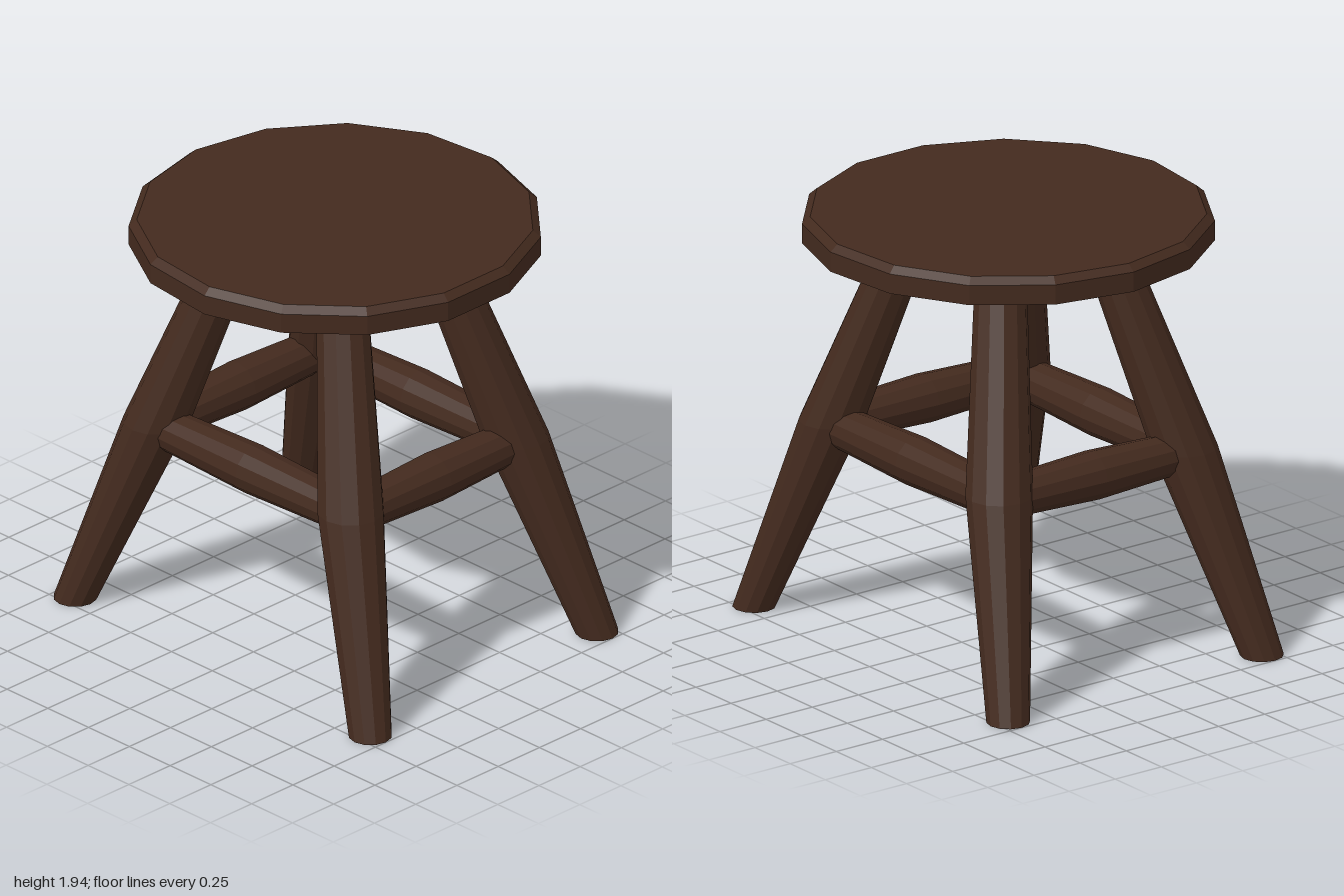
import * as THREE from 'three';

const wood = new THREE.MeshStandardMaterial({ color: 0x432a1e, flatShading: true });

// Lofts a closed solid through rings: each ring is [x, y, z, radius], lying level.
function loft(rings, sides) {
  const geo = new THREE.CylinderGeometry(1, 1, 1, sides, rings.length - 1);
  const p = geo.attributes.position;
  const last = rings.length - 1;
  for (let i = 0; i < p.count; i++) {
    const [x, y, z, r] = rings[Math.round((p.getY(i) + 0.5) * last)];
    p.setXYZ(i, x + p.getX(i) * r, y, z + p.getZ(i) * r);
  }
  geo.computeVertexNormals();
  return geo;
}

function add(group, name, geo) {
  const mesh = new THREE.Mesh(geo, wood);
  mesh.name = name;
  group.add(mesh);
  return mesh;
}

export function createModel() {
  const stool = new THREE.Group();
  stool.name = 'stool';

  // Fifteen-sided seat with a small top bevel, one corner pointing back
  const seat = add(stool, 'seat', loft([
    [0, 1.82, 0, 0.895],
    [0, 1.91, 0, 0.895],
    [0, 1.94, 0, 0.86],
  ], 15));
  seat.rotation.y = Math.PI;

  // Splayed legs, thickest at mid height, cut level at the floor
  for (const sx of [-1, 1]) {
    for (const sz of [-1, 1]) {
      const name = (sz > 0 ? 'front' : 'back') + (sx > 0 ? 'Left' : 'Right') + 'Leg';
      add(stool, name, loft([
        [sx * 0.687, 0, sz * 0.905, 0.095],
        [sx * 0.5, 0.91, sz * 0.595, 0.147],
        [sx * 0.28, 1.825, sz * 0.317, 0.112],
      ], 12));
    }
  }

  // Stretchers between neighbouring legs, slightly swollen in the middle
  const stretcher = (name, half, x, z, turn) => {
    const bar = add(stool, name, loft([
      [0, -half, 0, 0.09],
      [0, 0, 0, 0.11],
      [0, half, 0, 0.09],
    ], 12));
    bar.rotation.set(0, turn, Math.PI / 2);
    bar.position.set(x, 0.89, z);
  };
  for (const s of [-1, 1]) {
    stretcher(s > 0 ? 'frontStretcher' : 'backStretcher', 0.5, 0, s * 0.6, 0);
    stretcher(s > 0 ? 'leftStretcher' : 'rightStretcher', 0.6, s * 0.5, 0, Math.PI / 2);
  }

  return stool;
}
